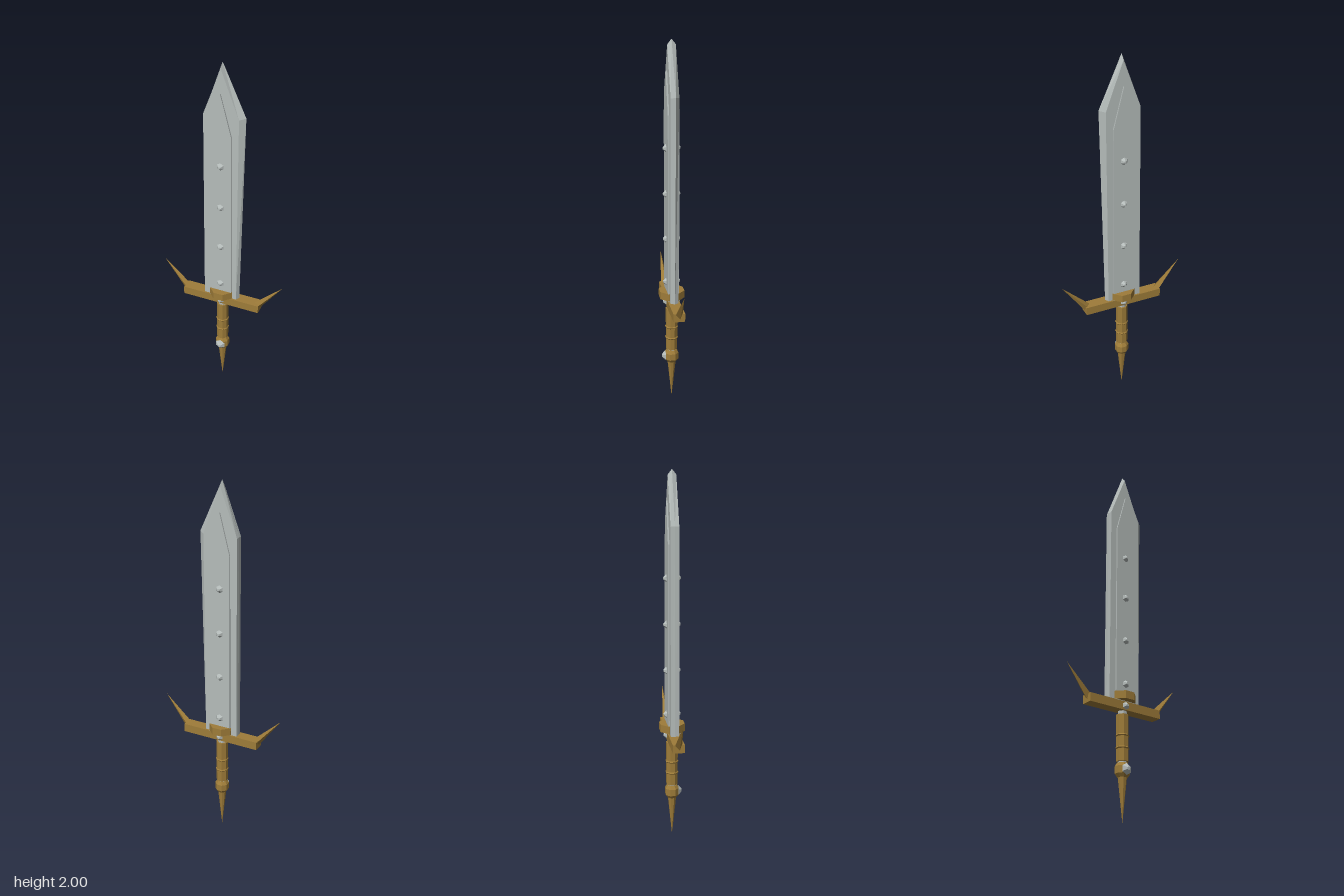
import * as THREE from 'three';

export function createModel() {
  const model = new THREE.Group();
  model.name = 'sword';
  const material = (name, color) => {
    const m = new THREE.MeshStandardMaterial({ color });
    m.name = name;
    return m;
  };
  const steel = material('steel', 0xb5bcba);
  const bronze = material('bronze', 0x9e7c39);

  // Adds a flat-faceted mesh to the model
  function add(name, geometry, mat, x = 0, y = 0, z = 0) {
    const g = geometry.index ? geometry.toNonIndexed() : geometry;
    g.computeVertexNormals();
    const mesh = new THREE.Mesh(g, mat);
    mesh.name = name;
    mesh.position.set(x, y, z);
    model.add(mesh);
    return mesh;
  }

  // Prism from a 2D outline, centred on its depth
  function prism(points, depth) {
    const shape = new THREE.Shape(points.map(([x, y]) => new THREE.Vector2(x, y)));
    return new THREE.ExtrudeGeometry(shape, { depth, bevelEnabled: false }).translate(0, 0, -depth / 2);
  }

  // Faceted column with flats facing the four sides
  function column(profile, sides = 8) {
    const points = profile.map(([r, y]) => new THREE.Vector2(r / Math.cos(Math.PI / sides), y));
    return new THREE.LatheGeometry(points, sides, Math.PI / sides);
  }

  // Blade: a blunt left side and a ground cutting edge on the right
  const face = [[-0.098, 0.61], [0.088, 0.61], [0.094, 1.724], [0, 1.972], [-0.093, 1.724]];
  const rim = [[-0.1, 0.61], [0.1, 0.61], [0.123, 1.73], [0, 2], [-0.094, 1.726]];
  const loops = [[face, 0.022], [rim, 0], [face, -0.022]];
  const positions = loops.flatMap(([loop, z]) => loop.flatMap(([x, y]) => [x, y, z]));
  const index = [];
  for (let i = 0; i < 5; i++) {
    const j = (i + 1) % 5;
    for (const k of [0, 5]) index.push(k + i, k + 5 + i, k + 5 + j, k + i, k + 5 + j, k + j);
  }
  for (let i = 1; i < 4; i++) index.push(0, i, i + 1, 10, 10 + i + 1, 10 + i);
  const blade = new THREE.BufferGeometry();
  blade.setAttribute('position', new THREE.Float32BufferAttribute(positions, 3));
  blade.setIndex(index);
  add('blade', blade, steel);

  // Raised centre panel on both faces
  add('bladePanel', prism([[-0.062, 0.61], [0.062, 0.61], [0.056, 1.63], [0, 1.845], [-0.056, 1.63]], 0.06), steel);

  // Cut studs down the blade and on the guard
  function stud(name, y, z, side) {
    const g = new THREE.CylinderGeometry(0.007, 0.022, 0.017, 6).rotateX(side * Math.PI / 2);
    add(name, g, steel, 0, y, z * side);
  }
  for (const side of [1, -1]) {
    for (const y of [0.71, 0.955, 1.205, 1.45]) stud('bladeStud', y, 0.037, side);
    stud('guardStud', 0.592, 0.038, side);
  }

  // Guard bar with octagonal collar
  add('guard', new THREE.BoxGeometry(0.444, 0.046, 0.062), bronze, 0, 0.592, 0);
  const a = 0.066, b = 0.026;
  const octagon = [[a, b], [b, a], [-b, a], [-a, b], [-a, -b], [-b, -a], [b, -a], [a, -b]];
  add('guardCollar', prism(octagon, 0.042).rotateX(-Math.PI / 2), bronze, 0, 0.639, 0);

  // Upswept spikes at the guard ends
  for (const side of [1, -1]) {
    const base = new THREE.Vector3(side * 0.2, 0.592, 0);
    const tip = new THREE.Vector3(side * 0.348, 0.76, 0);
    const direction = tip.clone().sub(base);
    const spike = add('guardSpike', new THREE.ConeGeometry(0.023, direction.length(), 4, 1, false, 0.2), bronze);
    spike.position.copy(base).add(tip).multiplyScalar(0.5);
    spike.quaternion.setFromUnitVectors(new THREE.Vector3(0, 1, 0), direction.normalize());
  }

  // Grip with two raised bands, over a steel tang
  add('tang', column([[0, 0.27], [0.022, 0.27], [0.022, 0.58], [0, 0.58]]), steel);
  add('grip', column([[0, 0.305], [0.03, 0.305], [0.03, 0.55], [0, 0.55]]), bronze);
  for (const y of [0.375, 0.44]) {
    add('gripBand', column([[0.029, y - 0.007], [0.034, y], [0.029, y + 0.007]]), bronze);
  }

  // Pommel with a jewel on the front and a long spike below
  add('pommel', column([[0, 0.225], [0.024, 0.225], [0.036, 0.243], [0.036, 0.28], [0.026, 0.298], [0, 0.298]]), bronze);
  const jewel = new THREE.CylinderGeometry(0.009, 0.03, 0.018, 6).rotateX(Math.PI / 2);
  add('pommelJewel', jewel, steel, 0, 0.262, 0.044);
  add('pommelSpike', column([[0, 0], [0.022, 0.228], [0, 0.228]]), bronze);

  return model;
}
